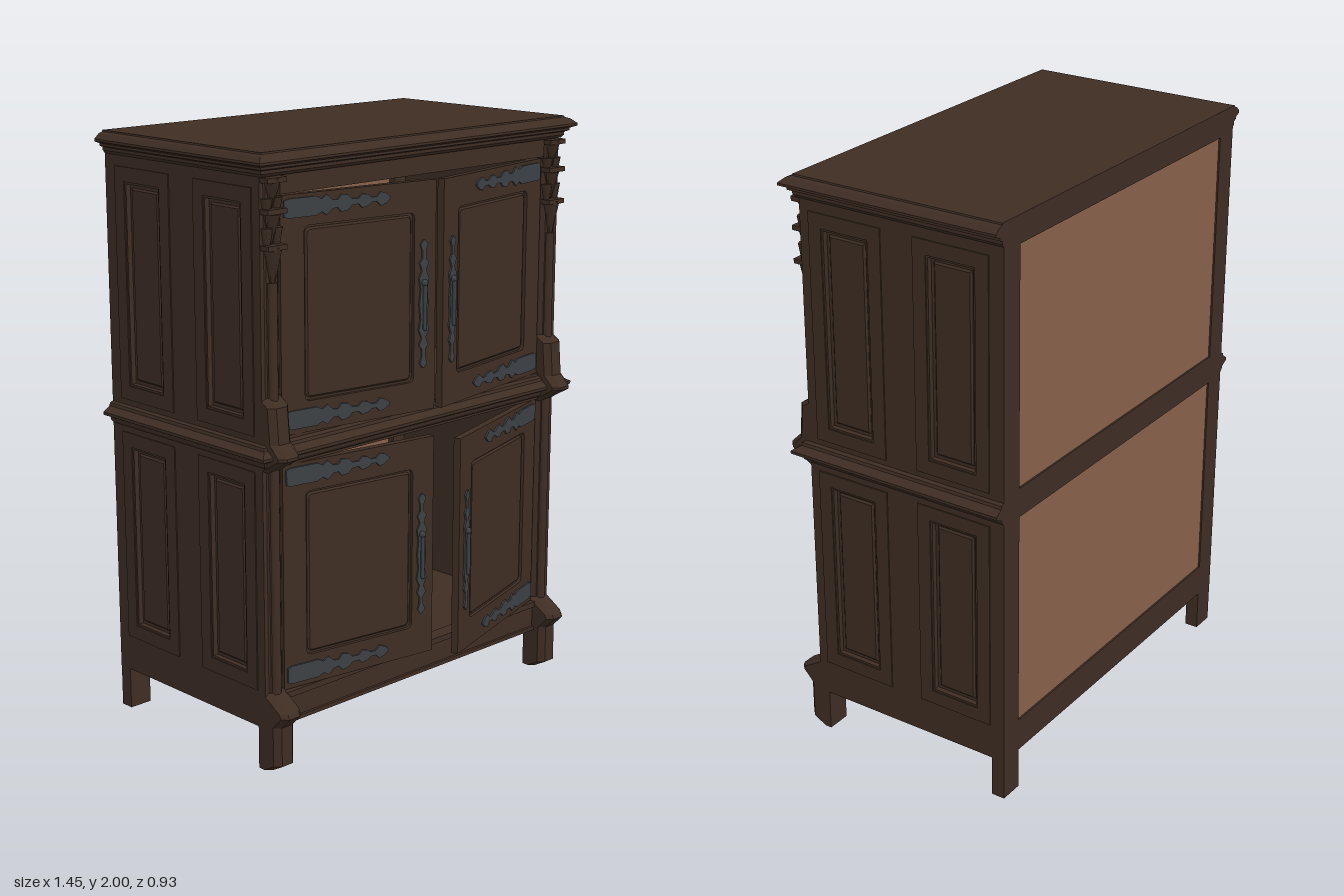
import * as THREE from 'three';

const mat = (name, color, extra = {}) => Object.assign(new THREE.MeshStandardMaterial({ color, ...extra }), { name });

export function createModel() {
  const wood = mat('dark oak', 0x3e2d23);
  const backing = mat('pale backing wood', 0x87614a);
  const iron = mat('wrought iron', 0x3c4044);
  const model = new THREE.Group();
  model.name = 'cabinet';

  const add = (parent, name, geo, material, x = 0, y = 0, z = 0) => {
    const m = new THREE.Mesh(geo, material);
    m.name = name;
    m.position.set(x, y, z);
    parent.add(m);
    return m;
  };
  // box given by its limits
  const box = (name, x0, x1, y0, y1, z0, z1, material = wood, parent = model) =>
    add(parent, name, new THREE.BoxGeometry(x1 - x0, y1 - y0, z1 - z0), material, (x0 + x1) / 2, (y0 + y1) / 2, (z0 + z1) / 2);
  // flat-sided solid through a stack of rings (front edge runs towards +x)
  const loft = (rings) => {
    const p = [], n = rings[0].length, last = rings[rings.length - 1];
    for (let i = 0; i + 1 < rings.length; i++) for (let j = 0; j < n; j++) {
      const k = (j + 1) % n, [a, b, c, d] = [rings[i][j], rings[i][k], rings[i + 1][k], rings[i + 1][j]];
      p.push(...a, ...b, ...c, ...a, ...c, ...d);
    }
    for (let j = 1; j + 1 < n; j++) {
      p.push(...last[0], ...last[j], ...last[j + 1]);
      p.push(...rings[0][0], ...rings[0][j + 1], ...rings[0][j]);
    }
    const g = new THREE.BufferGeometry();
    g.setAttribute('position', new THREE.Float32BufferAttribute(p, 3));
    g.computeVertexNormals();
    return g;
  };
  // rounded rectangle outline
  const rect = (Type, x0, x1, y0, y1, r = 0) => {
    const s = new Type();
    if (!r) s.moveTo(x0, y0).lineTo(x1, y0).lineTo(x1, y1).lineTo(x0, y1).closePath();
    else {
      s.moveTo(x0 + r, y0).lineTo(x1 - r, y0).quadraticCurveTo(x1, y0, x1, y0 + r);
      s.lineTo(x1, y1 - r).quadraticCurveTo(x1, y1, x1 - r, y1);
      s.lineTo(x0 + r, y1).quadraticCurveTo(x0, y1, x0, y1 - r);
      s.lineTo(x0, y0 + r).quadraticCurveTo(x0, y0, x0 + r, y0);
    }
    return s;
  };
  const plate = (shape, depth, bevel = 0) => new THREE.ExtrudeGeometry(shape, {
    depth, curveSegments: 4, bevelEnabled: bevel > 0, bevelSize: bevel, bevelThickness: bevel, bevelOffset: -bevel, bevelSegments: 1 });
  // symmetrical ironwork outline from [along, half width] pairs
  const fretwork = (pts, vertical) => {
    const all = [...pts, ...[...pts].reverse().map(([t, w]) => [t, -w])];
    return new THREE.Shape(all.map(([t, w]) => (vertical ? new THREE.Vector2(w, t) : new THREE.Vector2(t, w))));
  };

  const B = -0.467; // back plane

  // cornices: mitred mouldings on the front and sides, flush at the back
  const cornice = (name, profile) => add(model, name, loft(profile.map(([y, o]) => {
    const x = 0.685 + o, f = 0.3 + o;
    return [[-x, y, f], [x, y, f], [x, y, B], [-x, y, B]];
  })), wood);
  cornice('topCornice', [[1.925, 0], [1.935, 0.008], [1.945, 0.008], [1.95, 0.02], [1.958, 0.02], [1.966, 0.04], [1.974, 0.04], [1.99, 0.022], [1.995, 0.008], [2, 0.006]]);
  cornice('middleCornice', [[1.02, 0], [1.03, 0.01], [1.04, 0.012], [1.053, 0.04], [1.063, 0.04], [1.08, 0.015], [1.09, 0.012], [1.095, 0]]);

  // sides with sunken, fielded panels and thin outer mouldings
  const bays = [];
  for (const [y0, y1] of [[0.27, 1.0], [1.115, 1.89]])
    for (const [z0, z1] of [[-0.02, 0.255], [-0.415, -0.14]]) bays.push([-z1, -z0, y0, y1]);
  const inset = ([a, b, c, d], k, Type, r) => rect(Type, a + k, b - k, c + k, d - k, r);
  for (const s of [-1, 1]) {
    const side = new THREE.Group();
    side.name = s > 0 ? 'leftSide' : 'rightSide';
    side.rotation.y = s * Math.PI / 2;
    side.position.x = s * 0.655;
    model.add(side);
    const local = bays.map(([a, b, c, d]) => (s > 0 ? [a, b, c, d] : [-b, -a, c, d]));
    const outline = s > 0 ? rect(THREE.Shape, -0.29, -B, 0.145, 1.93) : rect(THREE.Shape, B, 0.29, 0.145, 1.93);
    outline.holes = local.map((b) => inset(b, 0.055, THREE.Path));
    add(side, 'sideFrame', plate(outline, 0.03), wood);
    for (const b of local) {
      const moulding = inset(b, 0, THREE.Shape);
      moulding.holes = [inset(b, 0.048, THREE.Path)];
      add(side, 'sidePanelMoulding', plate(moulding, 0.004), wood, 0, 0, 0.03);
      add(side, 'sidePanel', plate(inset(b, 0.04, THREE.Shape), 0.012), wood);
      add(side, 'sidePanelField', plate(inset(b, 0.068, THREE.Shape), 0.001, 0.006), wood, 0, 0, 0.014);
    }
  }

  // floor, front rails and back frame
  box('floor', -0.655, 0.655, 0.2, 0.22, B + 0.02, 0.27);
  box('topFrontRail', -0.605, 0.605, 1.865, 1.93, 0.25, 0.295);
  box('middleFrontRail', -0.605, 0.605, 1.01, 1.105, 0.25, 0.295);
  box('bottomFrontRail', -0.605, 0.605, 0.15, 0.252, 0.25, 0.295);
  box('bottomRailMoulding', -0.605, 0.605, 0.145, 0.158, 0.25, 0.305);
  box('bottomRailLedge', -0.605, 0.605, 0.232, 0.252, 0.25, 0.305);
  for (const [y0, y1] of [[0.145, 0.26], [1.01, 1.11], [1.91, 1.94]]) box('backRail', -0.605, 0.605, y0, y1, B, B + 0.03);
  for (const [y0, y1] of [[0.25, 1.02], [1.1, 1.92]]) box('backPanel', -0.61, 0.61, y0, y1, B + 0.006, B + 0.02, backing);
  for (const s of [-1, 1]) {
    box('backPost', s * 0.642 - 0.042, s * 0.642 + 0.042, 0, 1.93, B, B + 0.048);
  }

  // front posts: chamfered, with swelling feet and a projecting middle block
  const postProfile = [[0, 0.3], [0.025, 0.345], [0.16, 0.345], [0.2, 0.383], [0.215, 0.375], [0.265, 0.295], [1.0, 0.295], [1.02, 0.325],
    [1.053, 0.383], [1.063, 0.383], [1.1, 0.345], [1.215, 0.335], [1.24, 0.295], [1.93, 0.295]];
  for (const s of [-1, 1]) {
    const post = new THREE.Group();
    post.name = s > 0 ? 'leftFrontPost' : 'rightFrontPost';
    post.position.x = s * 0.6425;
    model.add(post);
    const w = 0.0425, c = 0.02, k = 0.255;
    add(post, 'postAndFoot', loft(postProfile.map(([y, f]) =>
      [[-w, y, k], [-w, y, f - c], [-w + c, y, f], [w - c, y, f], [w, y, f - c], [w, y, k]])), wood);
    add(post, 'lowerColonnette', new THREE.CylinderGeometry(0.018, 0.018, 0.76, 8), wood, 0, 0.64, 0.293);
    add(post, 'upperColonnette', new THREE.CylinderGeometry(0.018, 0.018, 0.4, 8), wood, 0, 1.4, 0.293);
    // carved pendants hanging in tiers
    for (const [y, h, r, x] of [[1.63, 0.16, 0.034, 0], [1.71, 0.12, 0.02, -0.02], [1.71, 0.12, 0.02, 0.02], [1.76, 0.1, 0.03, 0],
      [1.81, 0.1, 0.02, -0.02], [1.81, 0.1, 0.02, 0.02], [1.87, 0.1, 0.034, 0]])
      add(post, 'carvedPendant', new THREE.ConeGeometry(r, h, 6), wood, x, y, 0.296).rotation.x = Math.PI;
    for (const y of [1.71, 1.82, 1.915]) add(post, 'pendantCap', new THREE.BoxGeometry(0.078, 0.016, 0.05), wood, 0, y, 0.3);
  }

  // doors, built from the hinge edge and swung ajar
  const hingeOutline = [[0.012, 0.025], [0.03, 0.03], [0.13, 0.03], [0.15, 0.02], [0.17, 0.032], [0.19, 0.014], [0.21, 0.012], [0.225, 0.028],
    [0.25, 0.024], [0.265, 0.01], [0.29, 0.009], [0.305, 0.022], [0.325, 0.018], [0.34, 0.008], [0.36, 0.008], [0.375, 0.022], [0.395, 0.016], [0.412, 0.003]];
  const handleOutline = [[-0.21, 0.003], [-0.195, 0.015], [-0.175, 0.007], [-0.15, 0.007], [-0.135, 0.018], [-0.11, 0.008], [-0.085, 0.02], [-0.05, 0.013],
    [0, 0.018], [0.05, 0.013], [0.085, 0.02], [0.11, 0.008], [0.135, 0.018], [0.15, 0.007], [0.175, 0.007], [0.195, 0.015], [0.21, 0.003]];
  const door = (name, s, y0, degrees) => {
    const g = new THREE.Group(), H = 0.755, W = 0.598, t = 0.025;
    g.name = name;
    g.position.set(-s * 0.6, y0, 0.287);
    g.rotation.y = -s * degrees * Math.PI / 180;
    model.add(g);
    const span = (a, b) => (s > 0 ? [a, b] : [-b, -a]);
    const frame = rect(THREE.Shape, ...span(0, W), 0, H);
    frame.holes = [rect(THREE.Path, ...span(0.088, 0.512), 0.1, 0.655, 0.02)];
    add(g, 'doorFrame', plate(frame, t), wood, 0, 0, -t);
    add(g, 'doorPanel', plate(rect(THREE.Shape, ...span(0.08, 0.52), 0.09, 0.665), 0.01), wood, 0, 0, -t + 0.003);
    add(g, 'doorPanelField', plate(rect(THREE.Shape, ...span(0.096, 0.504), 0.108, 0.647, 0.02), 0.001, 0.006), wood, 0, 0, -0.011);
    for (const y of [0.047, H - 0.042]) {
      const pts = hingeOutline.map(([u, w]) => [s * u, w]);
      add(g, 'strapHinge', plate(fretwork(pts, false), 0.006), iron, 0, y, 0);
    }
    add(g, 'handlePlate', plate(fretwork(handleOutline, true), 0.006), iron, s * 0.548, 0.355, 0);
    add(g, 'dropHandle', new THREE.CapsuleGeometry(0.007, 0.14, 3, 8), iron, s * 0.548, 0.345, 0.011);
    add(g, 'handleBoss', new THREE.SphereGeometry(0.012, 8, 6), iron, s * 0.548, 0.425, 0.008);
  };
  door('upperRightDoor', 1, 1.105, 8.5);
  door('upperLeftDoor', -1, 1.105, 10);
  door('lowerRightDoor', 1, 0.255, 8.5);
  door('lowerLeftDoor', -1, 0.255, 17);

  return model;
}
